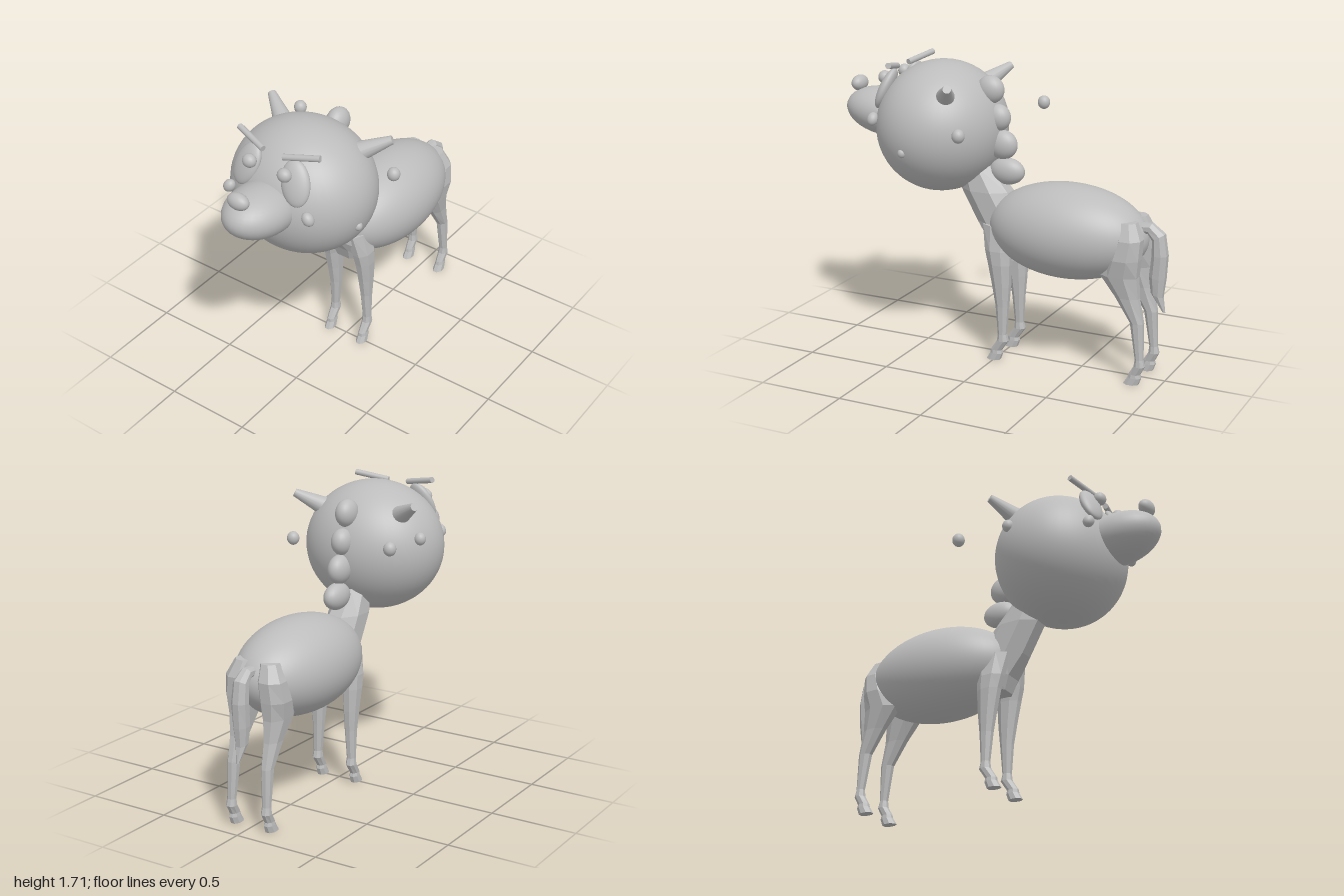
import * as THREE from 'three';

const clay = new THREE.MeshStandardMaterial({ color: 0xbcbcbc });
clay.name = 'clay grey';

function add(group, name, geometry) {
  const mesh = new THREE.Mesh(geometry, clay);
  mesh.name = name;
  group.add(mesh);
  return mesh;
}

// Smooth ellipsoid with centre, radii and rotation
function blob(group, name, pos, radii, rot = [0, 0, 0], segments = 32) {
  const mesh = add(group, name, new THREE.SphereGeometry(1, segments, segments * 0.75));
  mesh.position.set(...pos);
  mesh.scale.set(...radii);
  mesh.rotation.set(...rot);
  return mesh;
}

// Tapered round bar between two points
function bar(group, name, from, to, r0, r1) {
  const a = new THREE.Vector3(...from), b = new THREE.Vector3(...to);
  const dir = b.clone().sub(a);
  const mesh = add(group, name, new THREE.CylinderGeometry(r1, r0, dir.length(), 16));
  mesh.position.copy(a).lerp(b, 0.5);
  mesh.quaternion.setFromUnitVectors(new THREE.Vector3(0, 1, 0), dir.normalize());
}

// Faceted loft, top to bottom; ring = [x, y, z, half width, half depth, tilt]
function loft(rings, sides = 8) {
  const point = ([x, y, z, rx, rz, tilt = 0], k) => {
    const a = ((k + 0.5) / sides) * Math.PI * 2;
    const grow = 1 / Math.cos(Math.PI / sides);
    const d = Math.sin(a) * rz * grow;
    return [x + Math.cos(a) * rx * grow, y + d * Math.sin(tilt), z + d * Math.cos(tilt)];
  };
  const out = [];
  const first = rings[0], last = rings[rings.length - 1];
  for (let k = 0; k < sides; k++) {
    for (let i = 0; i < rings.length - 1; i++) {
      const a = point(rings[i], k), b = point(rings[i], k + 1);
      const c = point(rings[i + 1], k), d = point(rings[i + 1], k + 1);
      out.push(...a, ...b, ...c, ...b, ...d, ...c);
    }
    out.push(...first.slice(0, 3), ...point(first, k + 1), ...point(first, k));
    out.push(...last.slice(0, 3), ...point(last, k), ...point(last, k + 1));
  }
  const geometry = new THREE.BufferGeometry();
  geometry.setAttribute('position', new THREE.Float32BufferAttribute(out, 3));
  geometry.computeVertexNormals();
  return geometry;
}

// Leg rings from rows [x, y, front z, back z, half width]
const legRings = (rows, side) =>
  rows.map(([x, y, f, b, w]) => [x * side, y, (f + b) / 2, w, (f - b) / 2]);

const FRONT_LEG = [
  [0.08, 0.80, 0.08, -0.12, 0.05],
  [0.105, 0.66, 0.055, -0.10, 0.052],
  [0.11, 0.58, 0.035, -0.10, 0.048],
  [0.11, 0.45, 0.01, -0.095, 0.04],
  [0.11, 0.33, -0.01, -0.085, 0.032],
  [0.115, 0.16, -0.025, -0.075, 0.024],
  [0.115, 0.12, -0.02, -0.085, 0.028],
  [0.115, 0.06, 0.02, -0.045, 0.023],
  [0.115, 0.04, 0.022, -0.05, 0.026],
  [0.115, 0.00, 0.045, -0.035, 0.029],
];
const HIND_LEG = [
  [0.08, 0.92, -0.74, -0.84, 0.05],
  [0.10, 0.83, -0.73, -0.88, 0.075],
  [0.11, 0.72, -0.69, -0.875, 0.078],
  [0.11, 0.62, -0.65, -0.865, 0.062],
  [0.11, 0.50, -0.74, -0.875, 0.042],
  [0.11, 0.36, -0.83, -0.905, 0.031],
  [0.115, 0.15, -0.865, -0.91, 0.024],
  [0.115, 0.11, -0.86, -0.92, 0.028],
  [0.115, 0.06, -0.83, -0.895, 0.023],
  [0.115, 0.04, -0.825, -0.90, 0.026],
  [0.115, 0.00, -0.80, -0.885, 0.029],
];

export function createModel() {
  const model = new THREE.Group();
  model.name = 'animal';

  // Body, neck and tail
  blob(model, 'body', [0, 0.8, -0.404], [0.28, 0.27, 0.472], [0, 0, 0], 48);
  add(model, 'neck', loft([
    [0, 1.12, 0.17, 0.08, 0.10],
    [0, 0.98, 0.10, 0.10, 0.145],
    [0, 0.80, 0.00, 0.10, 0.145],
    [0, 0.68, -0.04, 0.13, 0.10],
    [0, 0.60, -0.06, 0.10, 0.09],
  ]));
  add(model, 'tail', loft([
    [0, 0.87, -0.83, 0.028, 0.03, -1.6],
    [0, 0.875, -0.89, 0.032, 0.032, -1.2],
    [0, 0.83, -0.94, 0.04, 0.04, -0.55],
    [0, 0.73, -0.95, 0.045, 0.043, 0],
    [0, 0.60, -0.94, 0.042, 0.046, 0.1],
    [0, 0.50, -0.94, 0.032, 0.035, 0.3],
    [0, 0.405, -0.98, 0.008, 0.01, 0.4],
  ]));

  // Head, muzzle and nose
  blob(model, 'head', [0, 1.325, 0.383], [0.412, 0.375, 0.37], [0, 0, 0], 48);
  blob(model, 'muzzle', [0, 1.37, 0.75], [0.175, 0.138, 0.252], [-0.13, 0, 0]);
  blob(model, 'nose', [0, 1.52, 0.93], [0.065, 0.046, 0.042], [0, 0, 0], 24);

  for (const s of [1, -1]) {
    const side = s > 0 ? 'left' : 'right';
    // Face
    blob(model, side + 'Eye', [0.157 * s, 1.54, 0.66], [0.08, 0.125, 0.038], [-0.42, 0.2 * s, 0.33 * s]);
    blob(model, side + 'Pupil', [0.113 * s, 1.593, 0.695], [0.04, 0.038, 0.036], [0, 0, 0], 20);
    blob(model, side + 'Cheek', [0.258 * s, 1.378, 0.695], [0.032, 0.04, 0.032], [0, 0, 0.6 * s], 20);
    bar(model, side + 'Brow', [0.065 * s, 1.655, 0.64], [0.26 * s, 1.69, 0.585], 0.017, 0.017);
    bar(model, side + 'Ear', [0.24 * s, 1.535, 0.24], [0.398 * s, 1.622, 0.143], 0.058, 0.023);
    // Legs
    add(model, side + 'FrontLeg', loft(legRings(FRONT_LEG, s)));
    add(model, side + 'HindLeg', loft(legRings(HIND_LEG, s)));
  }

  // Mane tufts down the back of the neck
  [
    [1.555, 0.08, 0.08, 0.082],
    [1.40, 0.03, 0.076, 0.072],
    [1.247, 0.005, 0.084, 0.09],
    [1.097, -0.025, 0.077, 0.106],
  ].forEach(([y, z, ry, rz], i) => blob(model, 'maneTuft' + (i + 1), [0, y, z], [0.06, ry, rz], [0, 0, 0], 24));

  // Loose beads around the head
  [
    [-0.375, 1.425, -0.078, 0.036],
    [0.375, 1.365, 0.09, 0.036],
    [-0.376, 1.42, 0.25, 0.033],
    [0.388, 1.235, 0.435, 0.024],
  ].forEach(([x, y, z, r], i) => blob(model, 'bead' + (i + 1), [x, y, z], [r, r * 1.1, r], [0, 0, 0], 20));

  return model;
}
